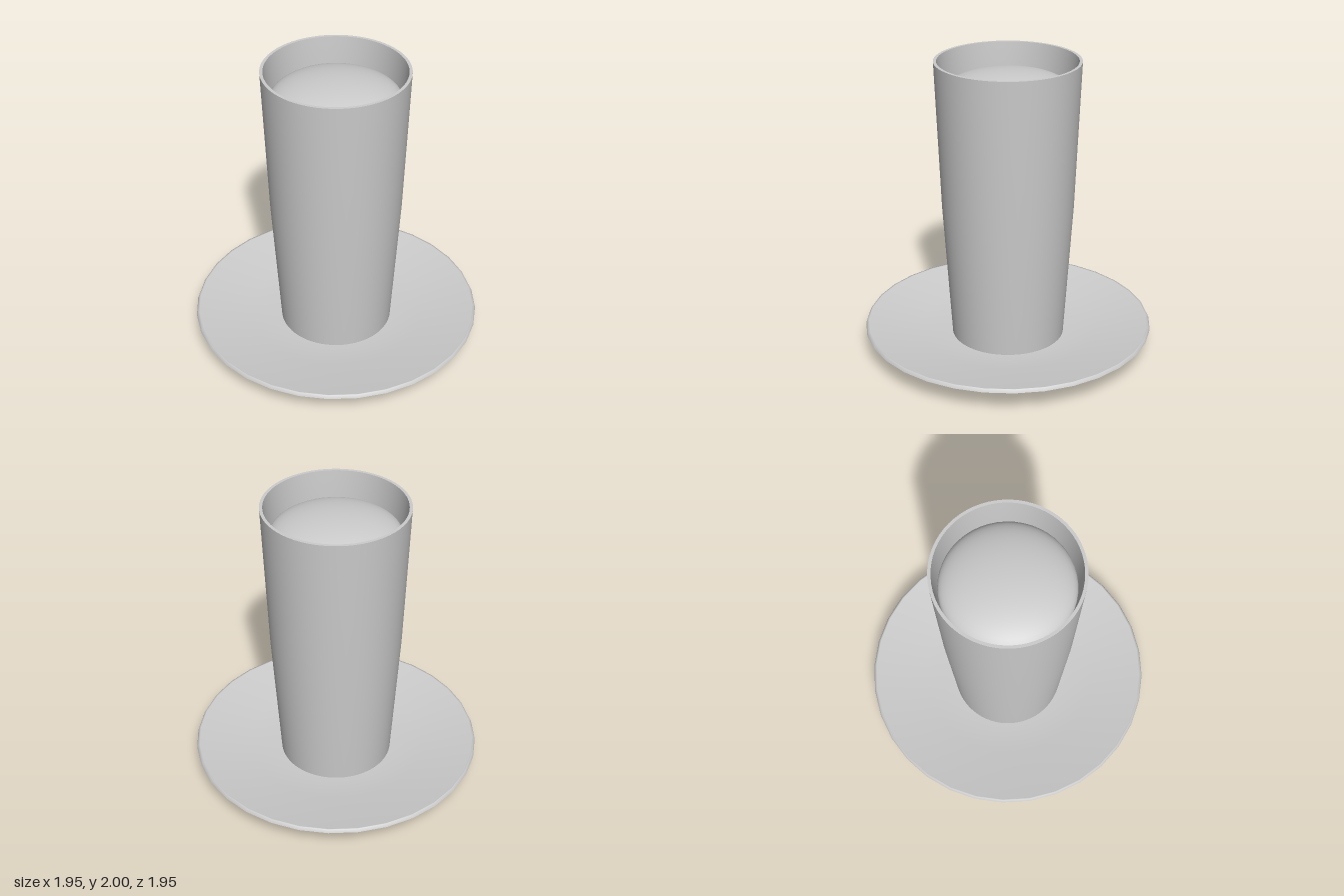
import * as THREE from 'three';

// Turn a list of profile strips; each strip is smooth, with sharp edges between strips.
function turned(name, strips, segments, material) {
  const group = new THREE.Group();
  group.name = name;
  for (const [part, points] of Object.entries(strips)) {
    const profile = points.map(([r, y]) => new THREE.Vector2(r, y));
    // start at +z so a corner of the polygon lies on each axis
    const mesh = new THREE.Mesh(new THREE.LatheGeometry(profile, segments), material);
    mesh.name = part;
    group.add(mesh);
  }
  return group;
}

export function createModel() {
  const model = new THREE.Group();
  model.name = 'cupOnSaucer';

  const porcelain = new THREE.MeshStandardMaterial({ color: 0xcccccc });
  porcelain.name = 'light grey';

  // Shallow saucer with a foot and a thin bevelled rim
  model.add(turned('saucer', {
    saucerBase: [[0, 0], [0.59, 0]],
    saucerUnderside: [[0.59, 0], [0.607, 0.04], [0.975, 0.15]],
    saucerRim: [[0.975, 0.15], [0.965, 0.173], [0.955, 0.17]],
    saucerTop: [[0.955, 0.17], [0.6, 0.105], [0.38, 0.085], [0, 0.08]],
  }, 32, porcelain));

  // Tall cup that flares towards the lip
  model.add(turned('cup', {
    cupBase: [[0, 0.083], [0.38, 0.083]],
    cupOuterWall: [[0.38, 0.083], [0.437, 1], [0.475, 2]],
    cupLip: [[0.475, 2], [0.455, 2]],
    cupInnerWall: [[0.455, 2], [0.438, 1.78], [0.41, 1], [0.36, 0.12]],
    cupFloor: [[0.36, 0.12], [0, 0.12]],
  }, 64, porcelain));

  // Flattened dome of filling inside the cup
  const filling = new THREE.Mesh(new THREE.SphereGeometry(0.428, 48, 24), porcelain);
  filling.name = 'filling';
  filling.scale.y = 0.33;
  filling.position.y = 1.78;
  model.add(filling);

  return model;
}
